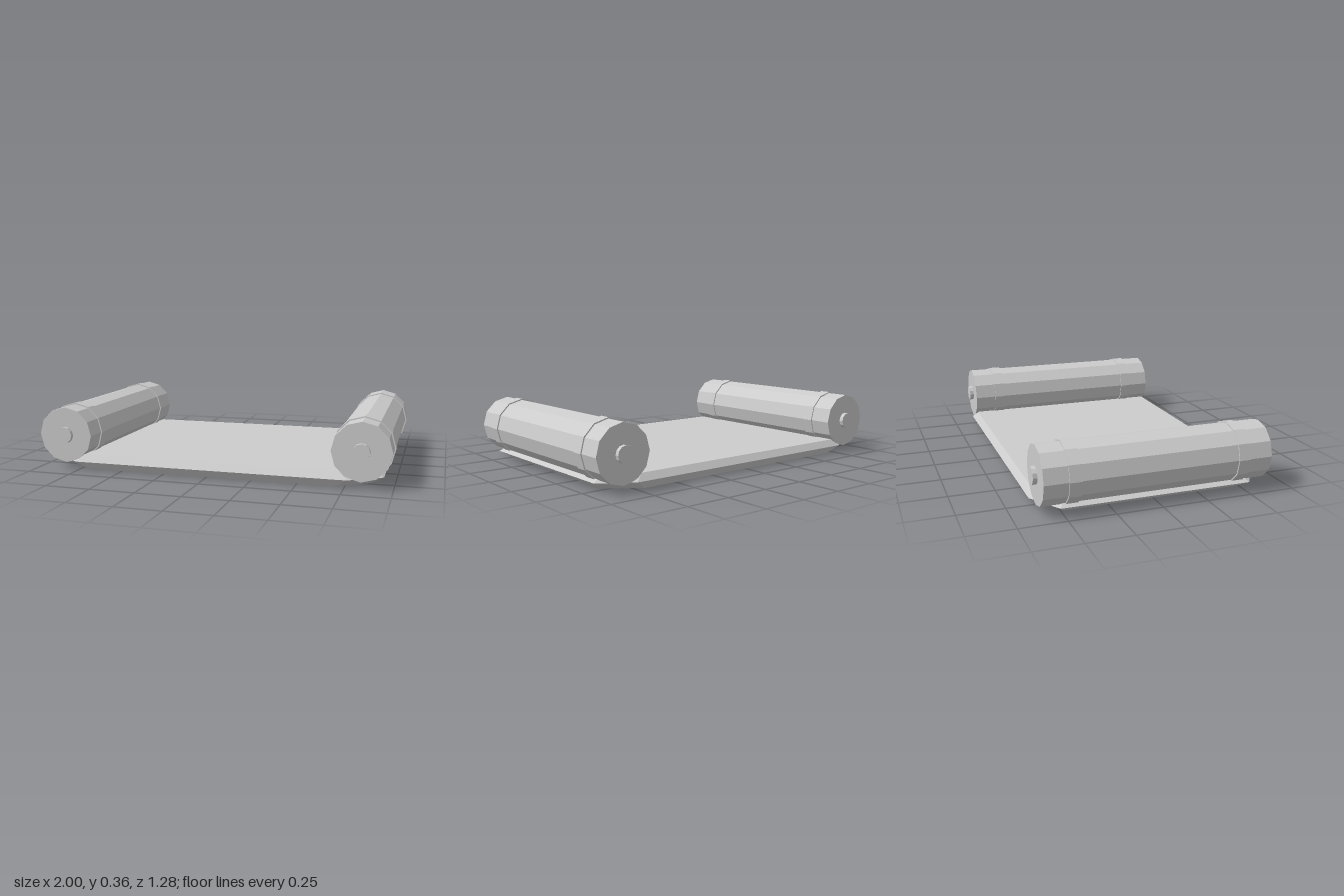
import * as THREE from 'three';

const grey = new THREE.MeshStandardMaterial({ color: 0xcccccc, flatShading: true });
grey.name = 'paleGrey';

// Twelve-sided drum along z with a vertex pointing straight up
function drum(name, radius, length, z) {
  const geometry = new THREE.CylinderGeometry(radius, radius, length, 12);
  geometry.rotateX(Math.PI / 2);
  const mesh = new THREE.Mesh(geometry, grey);
  mesh.name = name;
  mesh.position.z = z;
  return mesh;
}

// Octagonal outline: half width and depth, and where the corner cuts begin
function octagon(y, hx, hz, cx, cz) {
  const corner = [[hx, cz], [cx, hz], [-cx, hz], [-hx, cz]];
  const back = corner.map(([x, z]) => [-x, -z]);
  return [...corner, ...back].map(([x, z]) => new THREE.Vector3(x, y, z));
}

// Thin slab, widest at its middle, with bevelled rims and cut corners
function slab() {
  const rings = [
    octagon(0, 0.87, 0.6, 0.7, 0.48),
    octagon(0.045, 0.945, 0.635, 0.765, 0.52),
    octagon(0.082, 0.885, 0.605, 0.72, 0.49),
  ];
  const points = [];
  for (let i = 0; i < 8; i++) {
    const j = (i + 1) % 8;
    for (let k = 0; k < 2; k++) {
      const lower = rings[k], upper = rings[k + 1];
      points.push(lower[i], upper[j], lower[j], lower[i], upper[i], upper[j]);
    }
    if (i > 0 && i < 7) {
      points.push(rings[2][0], rings[2][j], rings[2][i]);
      points.push(rings[0][0], rings[0][i], rings[0][j]);
    }
  }
  const geometry = new THREE.BufferGeometry().setFromPoints(points);
  geometry.computeVertexNormals();
  const mesh = new THREE.Mesh(geometry, grey);
  mesh.name = 'sheet';
  return mesh;
}

export function createModel() {
  const model = new THREE.Group();
  model.name = 'scroll';
  model.add(slab());

  // Rollers at both ends, each with raised bands and a protruding axle
  for (const side of [-1, 1]) {
    const roller = new THREE.Group();
    roller.name = side > 0 ? 'leftRoller' : 'rightRoller';
    roller.position.set(side * 0.835, 0.193, 0);
    roller.add(drum('rollerBody', 0.158, 1.234, 0));
    for (const end of [-1, 1]) {
      roller.add(drum('band', 0.165, 0.064, end * 0.457));
      roller.add(drum('axleEnd', 0.047, 0.04, end * 0.62));
    }
    model.add(roller);
  }
  return model;
}
